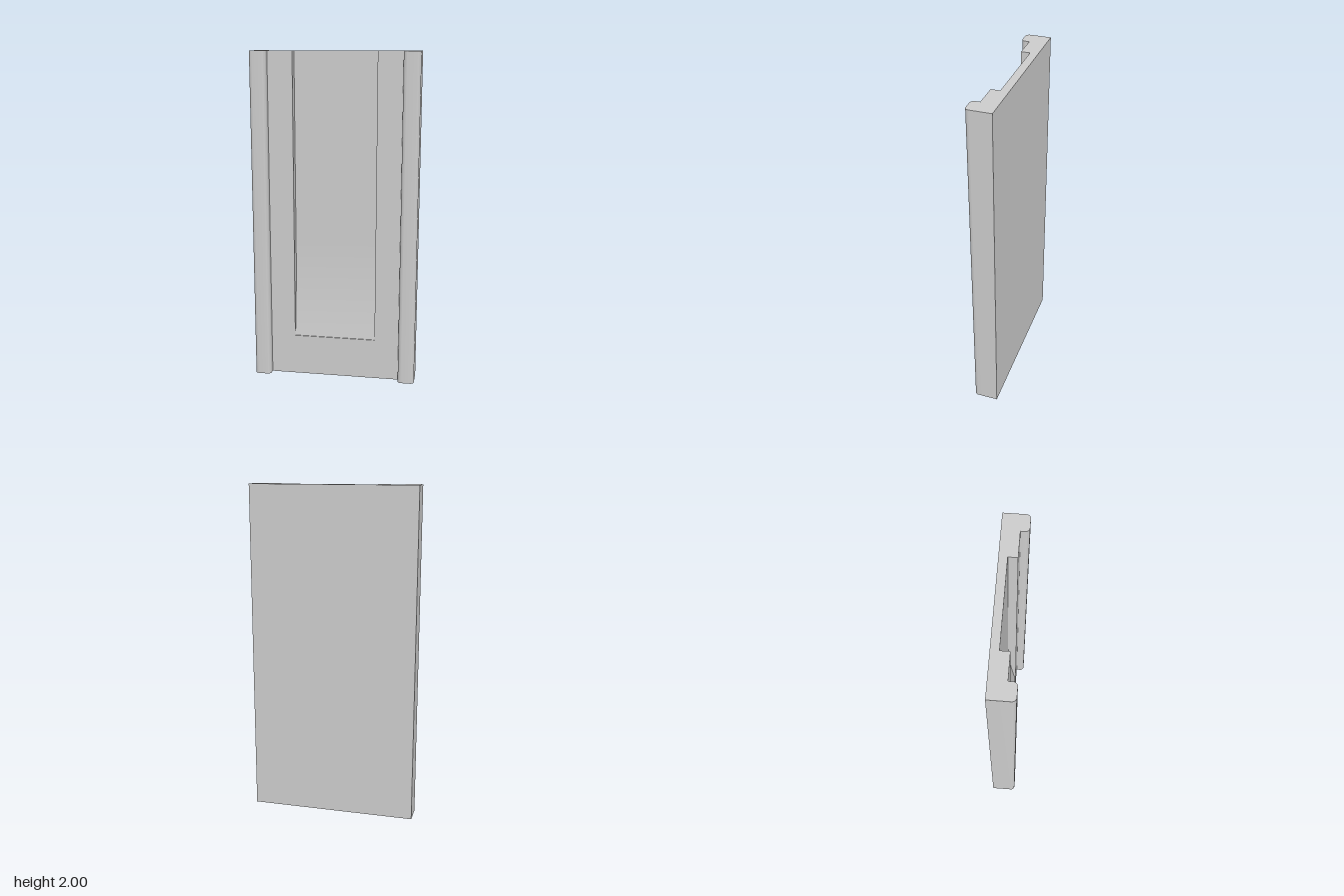
import * as THREE from 'three';
import { toCreasedNormals } from 'three/addons/utils/BufferGeometryUtils.js';

const HEIGHT = 2, HALF_W = 0.5, RAIL_IN = 0.4, RECESS = 0.25;
const BACK = -0.0735, FACE = 0.0255, RAIL = 0.0735, FLOOR = -0.0265, LIP = 0.0195;
const R = 0.024; // rail edge radius

const material = new THREE.MeshStandardMaterial({ color: 0xcccccc });

function extrude(shape, depth) {
  return new THREE.ExtrudeGeometry(shape, { depth, bevelEnabled: false, curveSegments: 12 });
}

function addMesh(group, name, geometry) {
  const mesh = new THREE.Mesh(toCreasedNormals(geometry, 0.4), material);
  mesh.name = name;
  group.add(mesh);
}

// Flat stile with a rounded rail on its outer edge, as a plan profile pulled upward
function sideGeometry(s) {
  const shape = new THREE.Shape();
  const k = R * 0.448; // handle offset for a near-circular corner
  shape.moveTo(s * RECESS, -BACK);
  shape.lineTo(s * HALF_W, -BACK);
  shape.lineTo(s * HALF_W, -(RAIL - R));
  shape.bezierCurveTo(s * HALF_W, -(RAIL - k), s * (HALF_W - k), -RAIL, s * (HALF_W - R), -RAIL);
  shape.lineTo(s * (RAIL_IN + R), -RAIL);
  shape.bezierCurveTo(s * (RAIL_IN + k), -RAIL, s * RAIL_IN, -(RAIL - k), s * RAIL_IN, -(RAIL - R));
  shape.lineTo(s * RAIL_IN, -FACE);
  shape.lineTo(s * RECESS, -FACE);
  shape.closePath();
  return extrude(shape, HEIGHT).rotateX(-Math.PI / 2);
}

// Centre strip: side profile with a recess that ramps out to a small lip near the foot
function centreGeometry() {
  const shape = new THREE.Shape();
  shape.moveTo(-BACK, 0);
  shape.lineTo(-BACK, HEIGHT);
  shape.lineTo(-FLOOR, HEIGHT);
  shape.lineTo(-FLOOR, 0.85);
  shape.quadraticCurveTo(-FLOOR, 0.55, -LIP, 0.25);
  shape.lineTo(-FACE, 0.25);
  shape.lineTo(-FACE, 0);
  shape.closePath();
  return extrude(shape, RECESS * 2).rotateY(Math.PI / 2).translate(-RECESS, 0, 0);
}

export function createModel() {
  const group = new THREE.Group();
  group.name = 'recessedPanel';
  addMesh(group, 'leftRail', sideGeometry(1));
  addMesh(group, 'rightRail', sideGeometry(-1));
  addMesh(group, 'recessedCentre', centreGeometry());
  return group;
}
